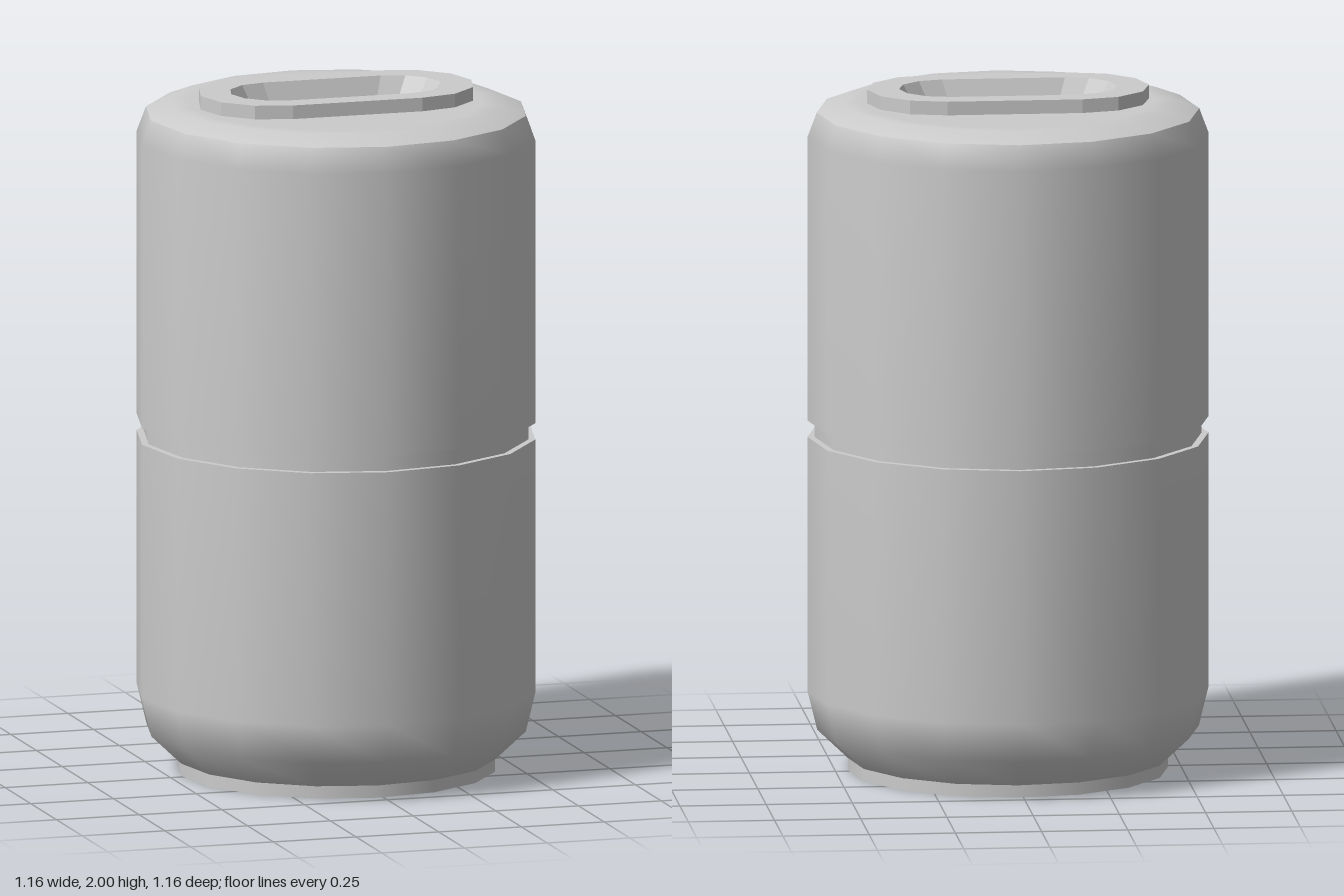
import * as THREE from 'three';

const SIDES = 16;
const TURN = -THREE.MathUtils.degToRad(2);
const material = new THREE.MeshStandardMaterial({ color: 0xcccccc });
const flatMaterial = new THREE.MeshStandardMaterial({ color: 0xcccccc, flatShading: true });

// One smooth surface of revolution; separate calls leave a sharp edge between them
function turned(name, profile) {
  const points = profile.map(([r, y]) => new THREE.Vector2(r, y));
  const mesh = new THREE.Mesh(new THREE.LatheGeometry(points, SIDES, TURN), material);
  mesh.name = name;
  return mesh;
}

// Stadium outline: two half circles of radius r, centred at x = +-c
function stadium(r, c) {
  const points = [];
  for (const end of [0, 1]) {
    for (let i = 0; i <= 6; i++) {
      const a = -Math.PI / 2 + end * Math.PI + (i / 6) * Math.PI;
      points.push(new THREE.Vector2((end ? -c : c) + r * Math.cos(a), r * Math.sin(a)));
    }
  }
  return points;
}

// Skin through stadium rings [r, c, y], with an optional floor on the last ring
function stadiumLoft(name, rings, floor) {
  const positions = [];
  const index = [];
  let n = 0;
  for (const [r, c, y] of rings) {
    const outline = stadium(r, c);
    n = outline.length;
    for (const p of outline) positions.push(p.x, y, -p.y);
  }
  for (let k = 0; k < rings.length - 1; k++) {
    for (let i = 0; i < n; i++) {
      const j = (i + 1) % n;
      const a = k * n + i, b = k * n + j;
      index.push(a, b, b + n, a, b + n, a + n);
    }
  }
  if (floor) {
    const base = (rings.length - 1) * n;
    for (let i = 1; i < n - 1; i++) index.push(base, base + i, base + i + 1);
  }
  const geometry = new THREE.BufferGeometry();
  geometry.setAttribute('position', new THREE.Float32BufferAttribute(positions, 3));
  geometry.setIndex(index);
  geometry.computeVertexNormals();
  const mesh = new THREE.Mesh(geometry, flatMaterial);
  mesh.name = name;
  return mesh;
}

export function createModel() {
  const group = new THREE.Group();
  group.name = 'canister';

  // Recessed foot ring
  const foot = new THREE.Group();
  foot.name = 'foot';
  foot.add(
    turned('footRecessFloor', [[0, 0.05], [0.347, 0.05]]),
    turned('footRecessWall', [[0.347, 0.05], [0.347, 0]]),
    turned('footUnderside', [[0.347, 0], [0.463, 0]]),
    turned('footWall', [[0.463, 0], [0.463, 0.036]])
  );

  // Lower half, groove and upper half
  const body = new THREE.Group();
  body.name = 'body';
  body.add(
    turned('lowerShell', [[0.463, 0.036], [0.552, 0.12], [0.58, 0.235], [0.58, 0.98]]),
    turned('grooveLowerLip', [[0.58, 0.98], [0.56, 0.98]]),
    turned('groove', [[0.56, 0.98], [0.56, 1.028]]),
    turned('grooveUpperLip', [[0.56, 1.028], [0.58, 1.028]]),
    turned('upperShell', [[0.58, 1.028], [0.58, 1.86], [0.553, 1.932]]),
    turned('topShoulder', [[0.553, 1.932], [0.48, 1.96], [0.43, 1.96]])
  );

  // Flat lid centre, cut out for the slot
  const lidShape = new THREE.Shape();
  const lidPoints = [];
  for (let i = 0; i < SIDES; i++) {
    const a = TURN + (i / SIDES) * Math.PI * 2;
    lidPoints.push(new THREE.Vector2(0.43 * Math.sin(a), -0.43 * Math.cos(a)));
  }
  lidShape.setFromPoints(lidPoints);
  lidShape.holes.push(new THREE.Path(stadium(0.16, 0.175)));
  const lidGeometry = new THREE.ShapeGeometry(lidShape);
  lidGeometry.rotateX(-Math.PI / 2);
  lidGeometry.translate(0, 1.96, 0);
  const lid = new THREE.Mesh(lidGeometry, material);
  lid.name = 'lid';
  body.add(lid);

  // Raised rim running into the sunken slot
  const rim = stadiumLoft('slotRim', [
    [0.213, 0.196, 1.96],
    [0.213, 0.196, 2],
    [0.138, 0.178, 2],
    [0.112, 0.153, 1.91],
  ], true);

  group.add(foot, body, rim);
  return group;
}
